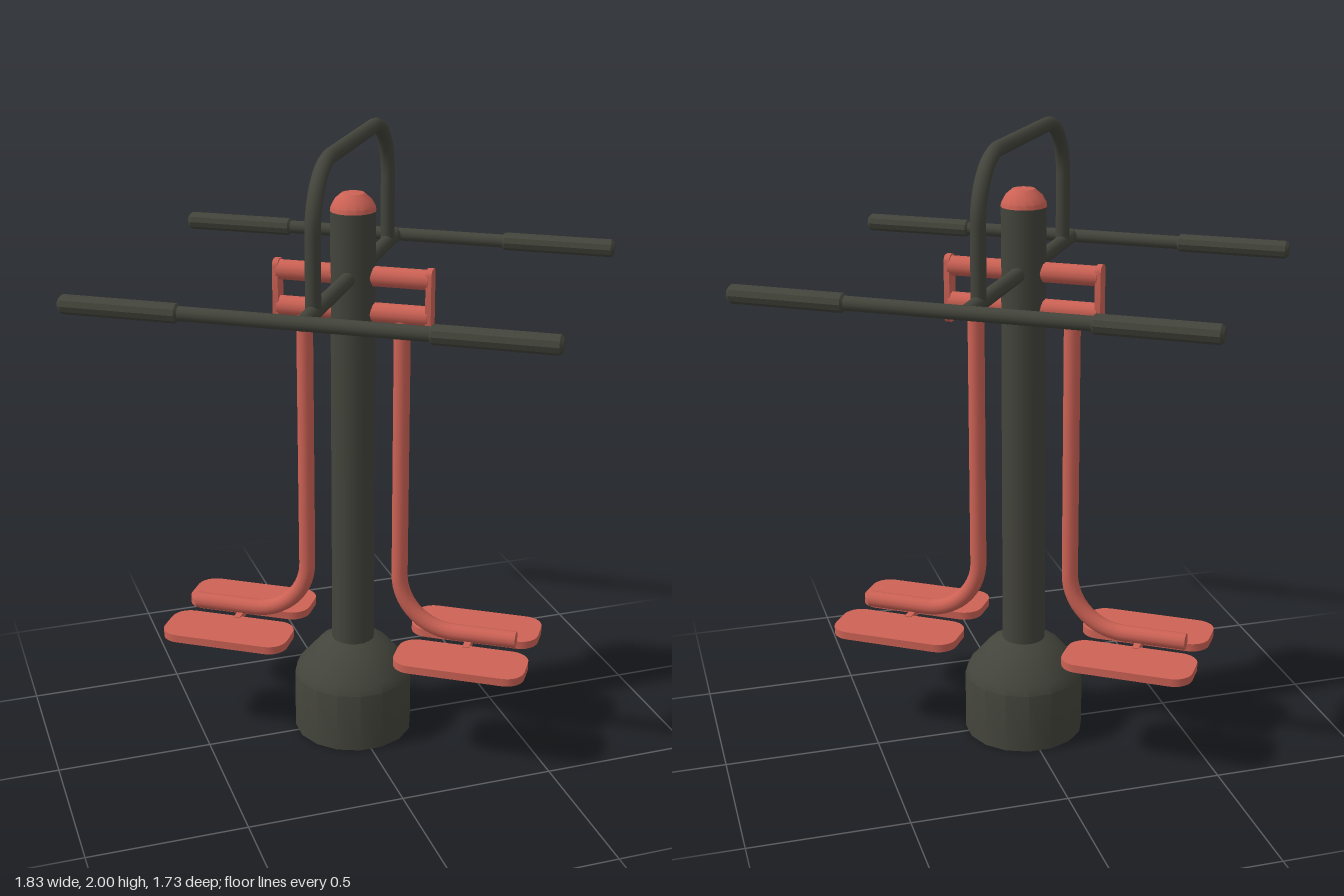
import * as THREE from 'three';
import { toCreasedNormals } from 'three/addons/utils/BufferGeometryUtils.js';

export function createModel() {
  const dark = new THREE.MeshStandardMaterial({ color: 0x43443b, side: THREE.DoubleSide });
  dark.name = 'darkGrey';
  const red = new THREE.MeshStandardMaterial({ color: 0xcd6255 });
  red.name = 'coralRed';

  const model = new THREE.Group();
  model.name = 'outdoorWalker';
  // The whole machine stands diagonally
  model.rotation.y = -THREE.MathUtils.degToRad(33.7);

  const add = (parent, name, geometry, material, x = 0, y = 0, z = 0) => {
    const mesh = new THREE.Mesh(geometry, material);
    mesh.name = name;
    mesh.position.set(x, y, z);
    parent.add(mesh);
    return mesh;
  };
  const lathe = (points, segments) => toCreasedNormals(
    new THREE.LatheGeometry(points.map(([r, y]) => new THREE.Vector2(r, y)), segments), 0.5);
  // Solid rod along x or z, with slightly bevelled ends
  const rod = (radius, length, axis, bevel = 0) => {
    const h = length / 2;
    const g = bevel
      ? lathe([[0, -h], [radius - bevel, -h], [radius, -h + bevel], [radius, h - bevel], [radius - bevel, h], [0, h]], 10)
      : new THREE.CylinderGeometry(radius, radius, length, 12);
    return axis === 'x' ? g.rotateZ(-Math.PI / 2) : g.rotateX(Math.PI / 2);
  };
  const roundedRect = (w, h, r) => {
    const s = new THREE.Shape(), a = w / 2 - r, b = h / 2 - r;
    s.absarc(a, b, r, 0, Math.PI / 2);
    s.absarc(-a, b, r, Math.PI / 2, Math.PI);
    s.absarc(-a, -b, r, Math.PI, Math.PI * 1.5);
    s.absarc(a, -b, r, Math.PI * 1.5, Math.PI * 2);
    return s;
  };
  const plate = (w, h, r, depth, curveSegments) => toCreasedNormals(
    new THREE.ExtrudeGeometry(roundedRect(w, h, r), { depth, bevelEnabled: false, curveSegments })
      .translate(0, 0, -depth / 2), 0.6);
  // Path of straight runs joined by quarter bends
  const v = (x, y, z) => new THREE.Vector3(x, y, z);
  const bentPath = (points, radius) => {
    const path = new THREE.CurvePath();
    let start = points[0];
    for (let i = 1; i < points.length - 1; i++) {
      const p = points[i];
      const dIn = p.clone().sub(points[i - 1]).normalize();
      const dOut = points[i + 1].clone().sub(p).normalize();
      const a = p.clone().addScaledVector(dIn, -radius);
      const b = p.clone().addScaledVector(dOut, radius);
      path.add(new THREE.LineCurve3(start, a));
      path.add(new THREE.CubicBezierCurve3(a, a.clone().addScaledVector(dIn, radius * 0.552),
        b.clone().addScaledVector(dOut, -radius * 0.552), b));
      start = b;
    }
    path.add(new THREE.LineCurve3(start, points[points.length - 1]));
    return path;
  };

  // Hollow base, post and domed cap
  add(model, 'base', lathe([[0.195, 0], [0.195, 0.2], [0.18, 0.23], [0.115, 0.305], [0.068, 0.328]], 16), dark);
  add(model, 'post', new THREE.CylinderGeometry(0.07, 0.07, 1.45, 16), dark, 0, 1.045, 0);
  add(model, 'postCap', lathe([[0.071, 1.765], [0.069, 1.778], [0.057, 1.8], [0.035, 1.819], [0, 1.825]], 16), red);

  // Cross bar, handlebars and upper hoop
  add(model, 'crossBar', rod(0.024, 1.06, 'z'), dark, 0, 1.565, 0);
  for (const s of [-1, 1]) {
    const handlebar = new THREE.Group();
    handlebar.name = s > 0 ? 'frontHandlebar' : 'backHandlebar';
    handlebar.position.set(0, 1.565, s * 0.53);
    add(handlebar, 'handlebarTube', rod(0.022, 1.3, 'x'), dark);
    for (const e of [-1, 1]) add(handlebar, 'grip', rod(0.029, 0.37, 'x', 0.01), dark, e * 0.547, 0, 0);
    model.add(handlebar);
  }
  add(model, 'hoop', new THREE.TubeGeometry(
    bentPath([v(0, 1.565, 0.422), v(0, 1.977, 0.422), v(0, 1.977, -0.422), v(0, 1.565, -0.422)], 0.185),
    90, 0.023, 10), dark);

  // Two swinging legs, one on each side of the post
  for (const s of [1, -1]) {
    const leg = new THREE.Group();
    leg.name = s > 0 ? 'leftLeg' : 'rightLeg';
    leg.rotation.y = s > 0 ? 0 : Math.PI;
    for (const y of [1.565, 1.45]) add(leg, 'pivotPipe', rod(0.032, 0.21, 'x'), red, 0.135, y, 0);
    add(leg, 'pivotPlate', plate(0.056, 0.215, 0.02, 0.018, 2).rotateY(Math.PI / 2), red, 0.243, 1.493, 0);
    add(leg, 'legTube', new THREE.TubeGeometry(
      bentPath([v(0.157, 1.45, 0), v(0.157, 0.385, 0), v(0.547, 0.385, 0)], 0.185), 60, 0.027, 12), red);
    add(leg, 'legTubeEnd', new THREE.CircleGeometry(0.027, 12).rotateY(Math.PI / 2), red, 0.547, 0.385, 0);
    // Pair of foot plates with the small bar that joins them
    for (const z of [-0.128, 0.128]) {
      add(leg, 'footPlate', plate(0.425, 0.186, 0.06, 0.026, 3).rotateX(-Math.PI / 2), red, 0.392, 0.347, z);
    }
    add(leg, 'footPlateBar', new THREE.BoxGeometry(0.022, 0.022, 0.1), red, 0.392, 0.352, 0);
    model.add(leg);
  }

  const root = new THREE.Group();
  root.name = 'model';
  root.add(model);
  return root;
}
